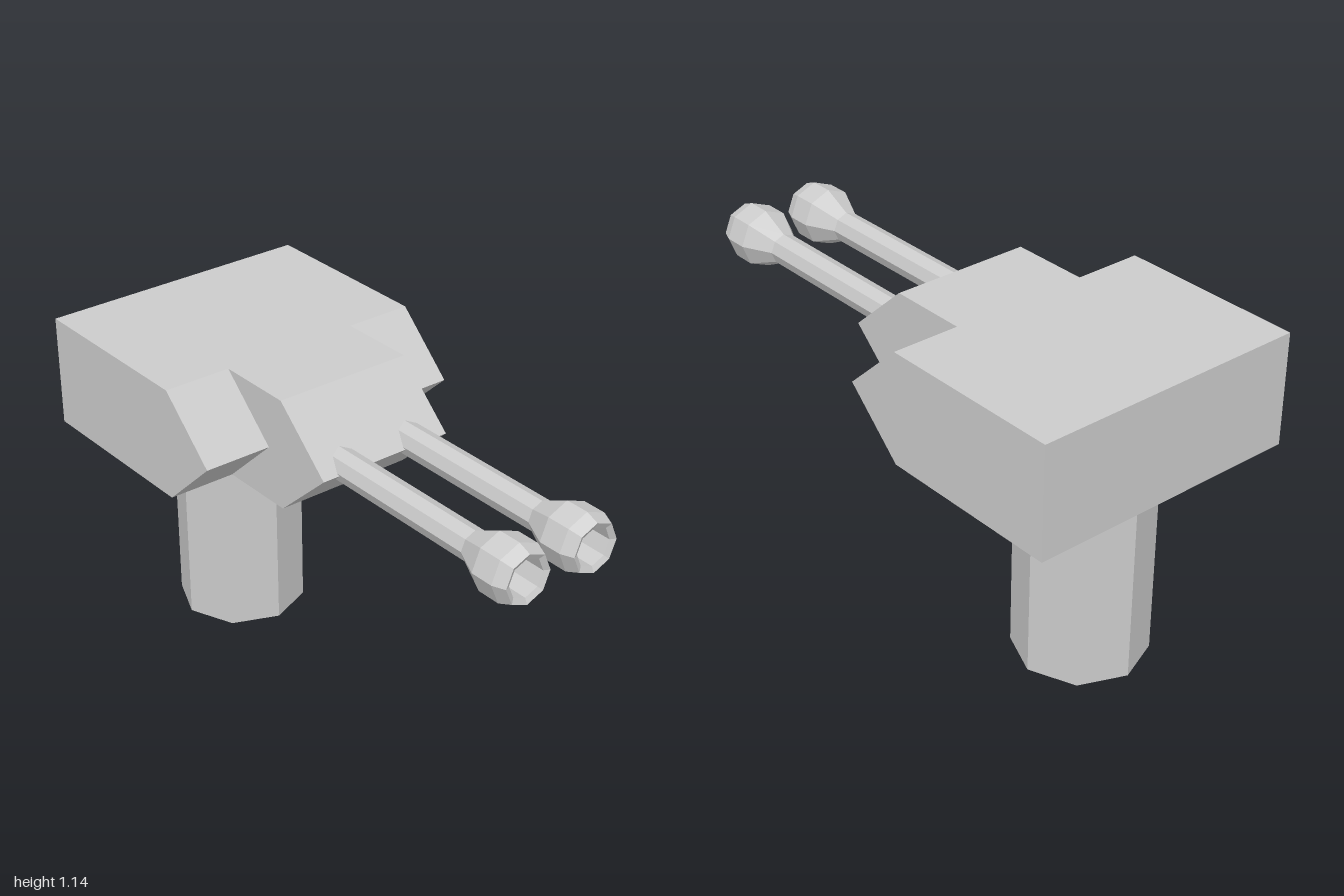
import * as THREE from 'three';

const material = new THREE.MeshStandardMaterial({ color: 0xcccccc, flatShading: true });

function addMesh(group, name, geometry) {
  const mesh = new THREE.Mesh(geometry, material);
  mesh.name = name;
  group.add(mesh);
  return mesh;
}

// Slab of the housing with a wedge-shaped nose, spanning zMin to zMax
function wedgeSlab(shoulderX, tipX, zMin, zMax) {
  const shape = new THREE.Shape([
    [-1, 0.74], [shoulderX, 0.74], [tipX, 0.94], [shoulderX, 1.14], [-1, 1.14],
  ].map(([x, y]) => new THREE.Vector2(x, y)));
  return new THREE.ExtrudeGeometry(shape, { depth: zMax - zMin, bevelEnabled: false })
    .translate(0, 0, zMin);
}

export function createModel() {
  const model = new THREE.Group();
  model.name = 'turret';

  // Octagonal pedestal
  addMesh(model, 'pedestal', new THREE.CylinderGeometry(0.23, 0.23, 0.74, 8))
    .position.set(-0.655, 0.37, 0);

  // Housing: long core between two shorter side blocks
  addMesh(model, 'housingCore', wedgeSlab(-0.04, 0.18, -0.255, 0.255));
  addMesh(model, 'leftHousing', wedgeSlab(-0.325, -0.11, 0.255, 0.5));
  addMesh(model, 'rightHousing', wedgeSlab(-0.325, -0.11, -0.5, -0.255));

  // Barrel profile (radius, distance along x), flared with a hollow muzzle
  const profile = [
    [0, 0.05], [0.055, 0.05], [0.055, 0.765], [0.106, 0.87], [0.106, 0.955],
    [0.088, 1], [0.068, 0.99], [0.068, 0.88], [0, 0.88],
  ].map(([r, d]) => new THREE.Vector2(r, d));
  const barrel = new THREE.LatheGeometry(profile, 8).rotateZ(-Math.PI / 2);

  for (const [name, z] of [['frontBarrel', 0.14], ['rearBarrel', -0.133]]) {
    addMesh(model, name, barrel).position.set(0, 0.947, z);
  }

  return model;
}
